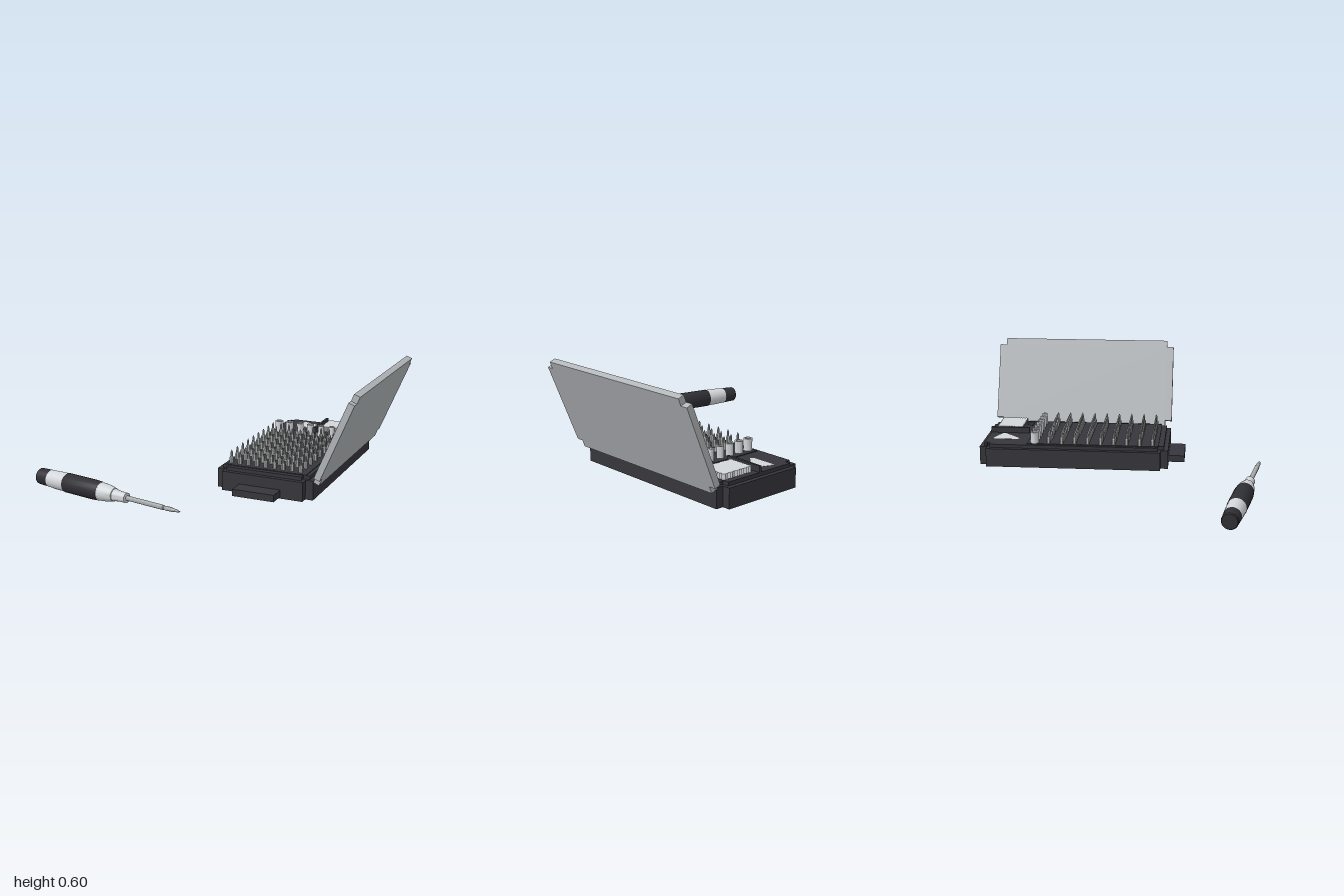
import * as THREE from 'three';
import { mergeGeometries, toCreasedNormals } from 'three/addons/utils/BufferGeometryUtils.js';

const mat = (name, color) => {
  const m = new THREE.MeshStandardMaterial({ color });
  m.name = name;
  return m;
};

export function createModel() {
  const casePlastic = mat('case plastic', 0x36363c);
  const gripRubber = mat('grip rubber', 0x2f2f34);
  const lidPlastic = mat('lid plastic', 0xb2b6b9);
  const steel = mat('steel', 0xa9acac);
  const paleGrey = mat('pale grey', 0xd3d6da);

  const model = new THREE.Group();
  model.name = 'screwdriverSet';
  const add = (parent, name, geometry, material, x = 0, y = 0, z = 0) => {
    const mesh = new THREE.Mesh(geometry, material);
    mesh.name = name;
    mesh.position.set(x, y, z);
    parent.add(mesh);
    return mesh;
  };

  // Shape lying flat, extruded upward; shape y runs along -z
  const slab = (shape, height) =>
    new THREE.ExtrudeGeometry(shape, { depth: height, bevelEnabled: false }).rotateX(-Math.PI / 2);
  const polygon = (pts) => new THREE.Shape(pts.map(([x, y]) => new THREE.Vector2(x, y)));

  // Rectangle with a square notch cut out of each corner
  const notched = (w, l, n) => {
    const a = w / 2, b = l / 2;
    return polygon([
      [-a, -b + n], [-a + n, -b + n], [-a + n, -b], [a - n, -b], [a - n, -b + n], [a, -b + n],
      [a, b - n], [a - n, b - n], [a - n, b], [-a + n, b], [-a + n, b - n], [-a, b - n],
    ]);
  };
  const lathe = (pts, sides, crease = 0.5) => toCreasedNormals(
    new THREE.LatheGeometry(pts.map(([r, y]) => new THREE.Vector2(r, y)), sides), crease);

  // ---- Bit case ----
  const bitCase = new THREE.Group();
  bitCase.name = 'bitCase';
  bitCase.position.set(0.363, 0, -0.206);
  bitCase.rotation.y = -0.237;
  model.add(bitCase);

  add(bitCase, 'caseBody', slab(notched(0.55, 1.09, 0.043), 0.107), casePlastic);

  // Raised tray with two open compartments at the back
  const trayShape = notched(0.5, 1.04, 0.035);
  for (const [x0, x1] of [[-0.235, -0.015], [0.01, 0.225]]) {
    trayShape.holes.push(new THREE.Path([
      [x0, 0.295], [x0, 0.5], [x1, 0.5], [x1, 0.295],
    ].map(([x, y]) => new THREE.Vector2(x, y))));
  }
  add(bitCase, 'tray', slab(trayShape, 0.027), casePlastic, 0, 0.1, 0);
  add(bitCase, 'compartmentDivider', new THREE.BoxGeometry(0.014, 0.055, 0.23), casePlastic,
    -0.003, 0.1325, -0.405);
  add(bitCase, 'bitPanel', new THREE.BoxGeometry(0.46, 0.006, 0.76), casePlastic, 0, 0.128, 0.11);
  add(bitCase, 'frontTab', new THREE.BoxGeometry(0.237, 0.038, 0.11), casePlastic, -0.012, 0.029, 0.582);

  for (const z of [-0.355, 0.355]) {
    add(bitCase, 'hinge', new THREE.CylinderGeometry(0.016, 0.016, 0.08, 12).rotateX(Math.PI / 2),
      casePlastic, 0.28, 0.1, z);
  }

  // Open lid leaning outward
  const lid = add(bitCase, 'lid', slab(notched(0.54, 1.09, 0.04), 0.035), lidPlastic,
    0.308 + 0.383 * 0.27, 0.088 + 0.924 * 0.27, 0);
  lid.rotation.z = THREE.MathUtils.degToRad(67.5);

  // Bits in a nine by nine grid
  const bit = lathe([[0.0115, 0.12], [0.0115, 0.163], [0.0065, 0.17], [0.0055, 0.194], [0, 0.207]], 6);
  const bits = [];
  for (let row = 0; row < 9; row++) {
    for (let col = 0; col < 9; col++) {
      bits.push(bit.clone().translate(-0.214 + col * 0.0502, 0, -0.144 + row * 0.075));
    }
  }
  add(bitCase, 'bits', mergeGeometries(bits), steel);

  // Row of sockets, shrinking to the right
  const sockets = [];
  for (let i = 0; i < 7; i++) {
    const r = 0.024 - i * 0.0013;
    sockets.push(lathe([[r, 0.12], [r, 0.195], [r * 0.6, 0.195], [r * 0.55, 0.18], [0, 0.18]], 12, 0.7)
      .translate(-0.206 + i * 0.066, 0, -0.227));
  }
  add(bitCase, 'sockets', mergeGeometries(sockets), paleGrey);

  // Pad with a zigzag edge
  const padPts = [];
  const corners = [[0.025, 0.34], [0.21, 0.34], [0.21, 0.482], [0.025, 0.482]];
  corners.forEach(([x, y], i) => {
    const [nx, ny] = corners[(i + 1) % 4];
    const len = Math.hypot(nx - x, ny - y);
    const teeth = i % 2 ? 9 : 12;
    for (let k = 0; k < teeth; k++) {
      const px = x + (nx - x) * k / teeth, py = y + (ny - y) * k / teeth;
      const hx = (nx - x) / teeth / 2, hy = (ny - y) / teeth / 2;
      padPts.push([px, py]);
      padPts.push([px + hx + (ny - y) / len * 0.007, py + hy - (nx - x) / len * 0.007]);
    }
  });
  add(bitCase, 'pad', slab(polygon(padPts), 0.05), paleGrey, 0, 0.107, 0);

  // Fan of thin triangular picks
  const pickShape = polygon([[0, -0.085], [0.01, -0.08], [0.062, 0.05], [0.055, 0.06],
    [-0.055, 0.06], [-0.062, 0.05], [-0.01, -0.08]]);
  for (let i = 0; i < 5; i++) {
    const pick = add(bitCase, 'pick', slab(pickShape, 0.004), paleGrey,
      -0.155 + i * 0.014, 0.108 + i * 0.004, -0.398 - i * 0.003);
    pick.rotation.y = 0.22 - i * 0.15;
  }

  // ---- Screwdriver lying on the ground ----
  const driver = new THREE.Group();
  driver.name = 'screwdriver';
  driver.position.set(-0.98, 0.054, 0.377);
  driver.rotation.y = -0.429;
  model.add(driver);
  const sections = [
    ['endCap', gripRubber, [[0, 0], [0.04, 0], [0.044, 0.005], [0.047, 0.08]]],
    ['rearHandle', paleGrey, [[0.047, 0.08], [0.05, 0.14], [0.051, 0.2]]],
    ['grip', gripRubber, [[0.051, 0.2], [0.053, 0.205], [0.053, 0.4], [0.05, 0.444]]],
    ['frontHandle', paleGrey, [[0.049, 0.444], [0.045, 0.49], [0.036, 0.535], [0.033, 0.537]]],
    ['collar', paleGrey, [[0.033, 0.537], [0.027, 0.575], [0.027, 0.618], [0.012, 0.62]]],
    ['shaft', steel, [[0.013, 0.615], [0.013, 0.86], [0.009, 0.865]]],
    ['tip', steel, [[0.008, 0.862], [0.012, 0.875], [0.011, 0.915], [0.005, 0.955], [0, 0.97]]],
  ];
  for (const [name, material, pts] of sections) {
    add(driver, name, lathe(pts, 24, 0.6).rotateZ(-Math.PI / 2), material);
  }

  return model;
}
